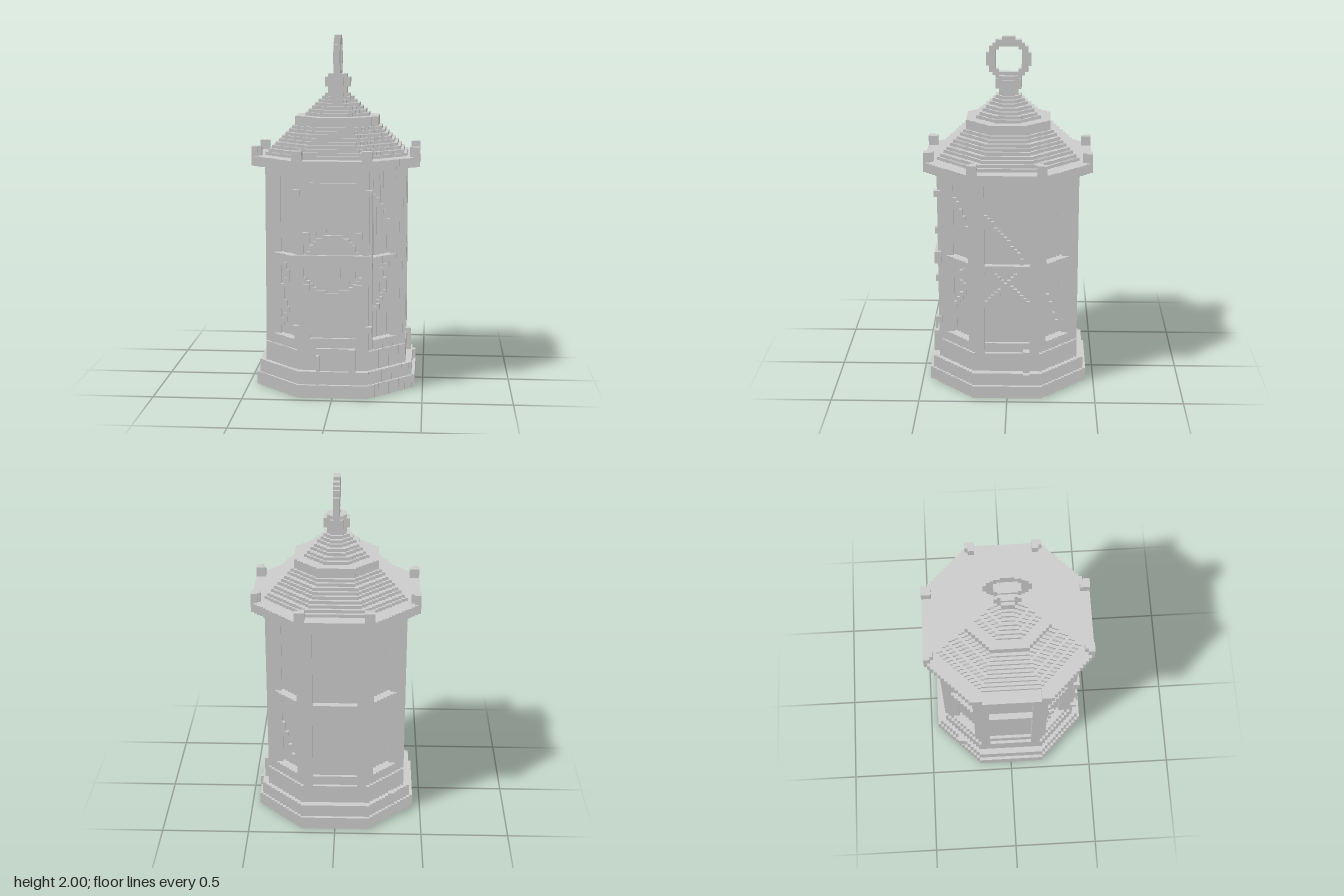
import * as THREE from 'three';
import { mergeGeometries } from 'three/addons/utils/BufferGeometryUtils.js';

const U = 2 / 110; // size of one voxel; all dimensions below are in voxels
const material = new THREE.MeshStandardMaterial({ color: 0xcccccc, flatShading: true });

export function createModel() {
  const model = new THREE.Group();

  const add = (name, geometries) => {
    const geometry = mergeGeometries(geometries);
    geometry.scale(U, U, U);
    const mesh = new THREE.Mesh(geometry, material);
    mesh.name = name;
    model.add(mesh);
  };

  const box = (x0, x1, y0, y1, z0, z1) =>
    new THREE.BoxGeometry(x1 - x0, y1 - y0, z1 - z0)
      .translate((x0 + x1) / 2, (y0 + y1) / 2, (z0 + z1) / 2);

  // Upright prism from a plan outline of [x, z] points
  const prism = (points, y0, y1) => {
    const shape = new THREE.Shape(points.map(([x, z]) => new THREE.Vector2(x, -z)));
    return new THREE.ExtrudeGeometry(shape, { depth: y1 - y0, bevelEnabled: false })
      .rotateX(-Math.PI / 2).translate(0, y0, 0);
  };

  // Octagonal slab with stepped diagonal sides; F is half the straight side
  const octagon = (R, y0, y1, F) => {
    const points = [];
    for (let q = 0; q < 4; q++) {
      const side = [[R, -F], [R, F]];
      for (let i = 0; i < R - F; i++) {
        side.push([R - i - 1, F + i]);
        if (i < R - F - 1) side.push([R - i - 1, F + i + 1]);
      }
      for (let [x, z] of side) {
        for (let k = 0; k < q; k++) [x, z] = [-z, x];
        points.push([x, z]);
      }
    }
    return prism(points, y0, y1);
  };

  // All eight mirrored placements of a plan point
  const eightWays = (make) => {
    const list = [];
    for (const sx of [1, -1]) for (const sz of [1, -1]) for (const swap of [false, true]) {
      list.push(make(([x, z]) => (swap ? [sx * z, sz * x] : [sx * x, sz * z])));
    }
    return list;
  };

  // Rows of cells chosen by a test, joined into one box per run
  const cells = (test, a0, a1, y0, y1, make) => {
    const list = [];
    for (let y = y0; y < y1; y++) {
      let start = null;
      for (let a = a0; a <= a1; a++) {
        const on = a < a1 && test(a + 0.5, y + 0.5);
        if (on && start === null) start = a;
        if (!on && start !== null) {
          list.push(make(start, a, y));
          start = null;
        }
      }
    }
    return list;
  };

  // Stepped plinth
  add('plinth', [octagon(25, 0, 4, 11), octagon(24, 4, 8, 11), octagon(22, 8, 14, 11)]);

  // Recessed panels between a sill and a header, with a rail all round
  add('panels', [octagon(20, 17, 67, 8)]);
  add('sill', [octagon(21, 14, 17, 11)]);
  add('header', [octagon(21, 67, 70, 11)]);
  add('middleRail', [octagon(22, 41, 43, 10)]);

  // Corner posts, cut back at the front to seat the door face
  const post = [[17, 7], [22, 7], [22, 10], [21, 10], [21, 11], [20, 11], [20, 12], [17, 12]];
  add('cornerPosts', eightWays((place) =>
    prism(post.map(place).map(([x, z]) => [x, Math.min(z, 21)]), 14, 70)));

  // Front door: backing plate, and a face with slots and a circular groove
  const doorFace = (x, y) => {
    const r = Math.hypot(x, y - 42);
    if (r > 8.2 && r < 9.8) return false;
    return !(Math.abs(x) < 7 && (y > 66 || y === 18.5));
  };
  add('door', [
    box(-11, 11, 14, 67, 18, 21),
    ...cells(doorFace, -11, 11, 14, 70, (a, b, y) => box(a, b, y, y + 1, 21, 22)),
  ]);
  add('doorBar', [box(-12, 12, 40, 44, 21, 23)]);
  const rivets = [];
  for (const s of [-1, 1]) {
    for (const [x, y] of [[11, 21], [11, 63], [8, 34], [8, 50]]) {
      rivets.push(box(s * x - 1, s * x + 1, y - 1, y + 1, 21, 23));
    }
    rivets.push(box(s * 2 - 0.5, s * 2 + 0.5, 37, 40, 21, 22.5));
  }
  add('doorRivets', rivets);

  // Hatch and latches on the plinth
  add('hatch', [box(-5, 6, 8, 15, 21, 23)]);
  add('latches', [
    box(5, 7, 7, 15, 22, 24), box(-5, -4, 4, 13, 22, 24.5),
    box(21, 23.5, 8, 15, -7, -5), box(21, 25, 5, 8, -7, -5),
    box(-19, -17, 5, 9, -18, -16),
  ]);

  // Climbing vines made of single voxels
  const vines = [
    [[12, 60, 16], [15, 55, 13], [17, 46, 11]],
    [[17, 40, 11], [14, 37, 14], [15, 31, 13], [12, 25, 16], [12, 19, 16]],
    [[20, 57, 6], [20, 45, -4], [20, 41, -6], [20, 29, 6]],
    [[20, 40, 5], [20, 29, -7]],
    [[17, 32, -12], [13, 19, -16]],
    [[-18, 42, 11], [-15, 35, 14], [-18, 29, 11], [-15, 24, 14], [-17, 20, 12]],
  ];
  const vineCells = new Set();
  for (const path of vines) {
    for (let i = 0; i + 1 < path.length; i++) {
      const a = new THREE.Vector3(...path[i]), b = new THREE.Vector3(...path[i + 1]);
      const d = b.clone().sub(a);
      const n = Math.max(Math.abs(d.x), Math.abs(d.y), Math.abs(d.z));
      for (let k = 0; k <= n; k++) {
        const p = a.clone().lerp(b, k / n).round();
        vineCells.add(`${p.x},${p.y},${p.z}`);
      }
    }
  }
  add('vines', [...vineCells].map((key) => {
    const [x, y, z] = key.split(',').map(Number);
    return box(x, x + 1, y, y + 2, z, z + 1);
  }));

  // Eaves with a block at every corner
  add('eaves', [octagon(26, 70, 73, 12)]);
  add('eavesBlocks', eightWays((place) =>
    prism([[23, 9], [26, 9], [26, 12], [24, 12], [24, 11], [23, 11]].map(place), 70, 76)));

  // Stepped roof in two tiers with a collar between them
  const tier = (R, y, count) => Array.from({ length: count }, (_, i) =>
    octagon(R - i, y + i, y + i + 1, Math.round((R - i) * 0.414)));
  add('lowerRoof', tier(22, 73, 9));
  add('roofCollar', [octagon(13, 82, 85, 6)]);
  add('upperRoof', tier(10, 85, 7));

  // Finial knob with a boss on each side
  add('finial', [octagon(3, 92, 98, 2)]);
  add('finialBosses', [box(-4, 4, 94, 97, -2, 2), box(-2, 2, 94, 97, -4, 4)]);

  // Hanging ring
  const ring = (z, y) => {
    const r = Math.hypot(z, y - 103);
    return r > 4.4 && r < 6.95;
  };
  add('hangingRing', cells(ring, -7, 7, 96, 110, (a, b, y) => box(-1, 1, y, y + 1, a, b)));

  return model;
}
